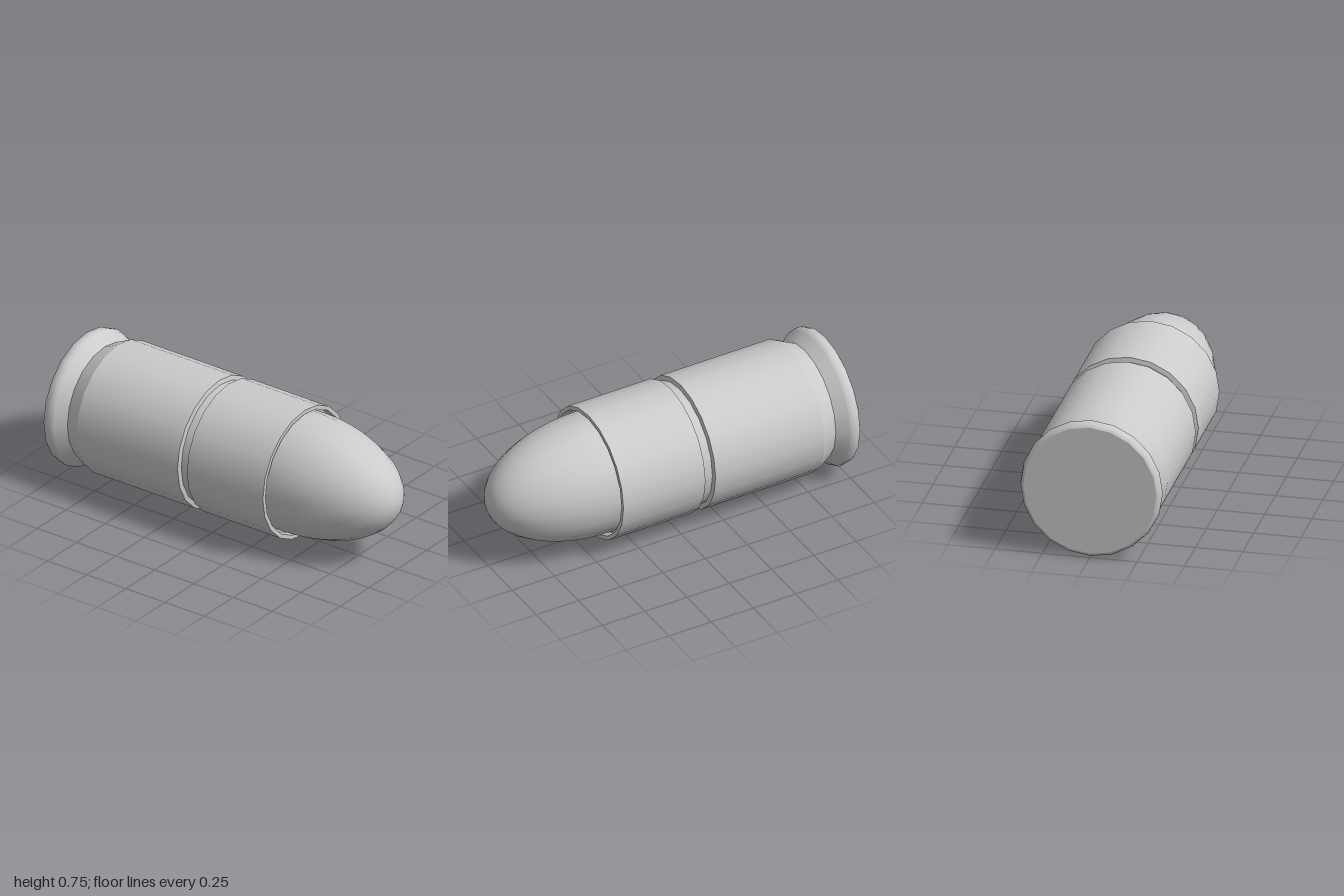
import * as THREE from 'three';

const SIDES = 20;
const CENTRE_Y = 0.375;

export function createModel() {
  const group = new THREE.Group();
  const material = new THREE.MeshStandardMaterial({ color: 0xcccccc });

  // Turned surface along z; profile is [radius, z] from back to front
  const turned = (name, profile) => {
    const points = profile.map(([r, z]) => new THREE.Vector2(r, z));
    const geometry = new THREE.LatheGeometry(points, SIDES).rotateX(Math.PI / 2);
    const mesh = new THREE.Mesh(geometry, material);
    mesh.name = name;
    mesh.position.y = CENTRE_Y;
    group.add(mesh);
    return mesh;
  };

  // Base disc and rounded rim
  turned('base', [[0, -1], [0.352, -1]]);
  turned('rim', [[0.352, -1], [0.367, -0.992], [0.373, -0.97], [0.374, -0.95], [0.365, -0.935]]);

  // Extractor groove behind the body
  turned('rimSlope', [[0.365, -0.935], [0.32, -0.875]]);
  turned('grooveSlope', [[0.32, -0.875], [0.362, -0.785]]);

  // Straight case walls with a narrow ring groove between them
  turned('rearCase', [[0.362, -0.785], [0.362, -0.14]]);
  turned('ringGrooveRear', [[0.362, -0.14], [0.337, -0.135]]);
  turned('ringGroove', [[0.337, -0.135], [0.337, -0.085]]);
  turned('ringGrooveFront', [[0.337, -0.085], [0.362, -0.08]]);
  turned('frontCase', [[0.362, -0.08], [0.362, 0.405]]);

  // Case mouth: lip, inner wall and recessed ledge
  turned('mouthLip', [[0.362, 0.405], [0.34, 0.405]]);
  turned('mouthWall', [[0.34, 0.405], [0.338, 0.36]]);
  turned('mouthLedge', [[0.338, 0.36], [0.28, 0.36]]);

  // Half-ellipsoid tip, slightly narrower across than it is tall
  const tipProfile = [[0.328, 0.34]];
  for (let i = 0; i <= 16; i++) {
    const a = (i / 16) * Math.PI / 2;
    tipProfile.push([0.328 * Math.cos(a), 0.4 + 0.6 * Math.sin(a)]);
  }
  turned('tip', tipProfile).scale.x = 0.955;

  return group;
}
